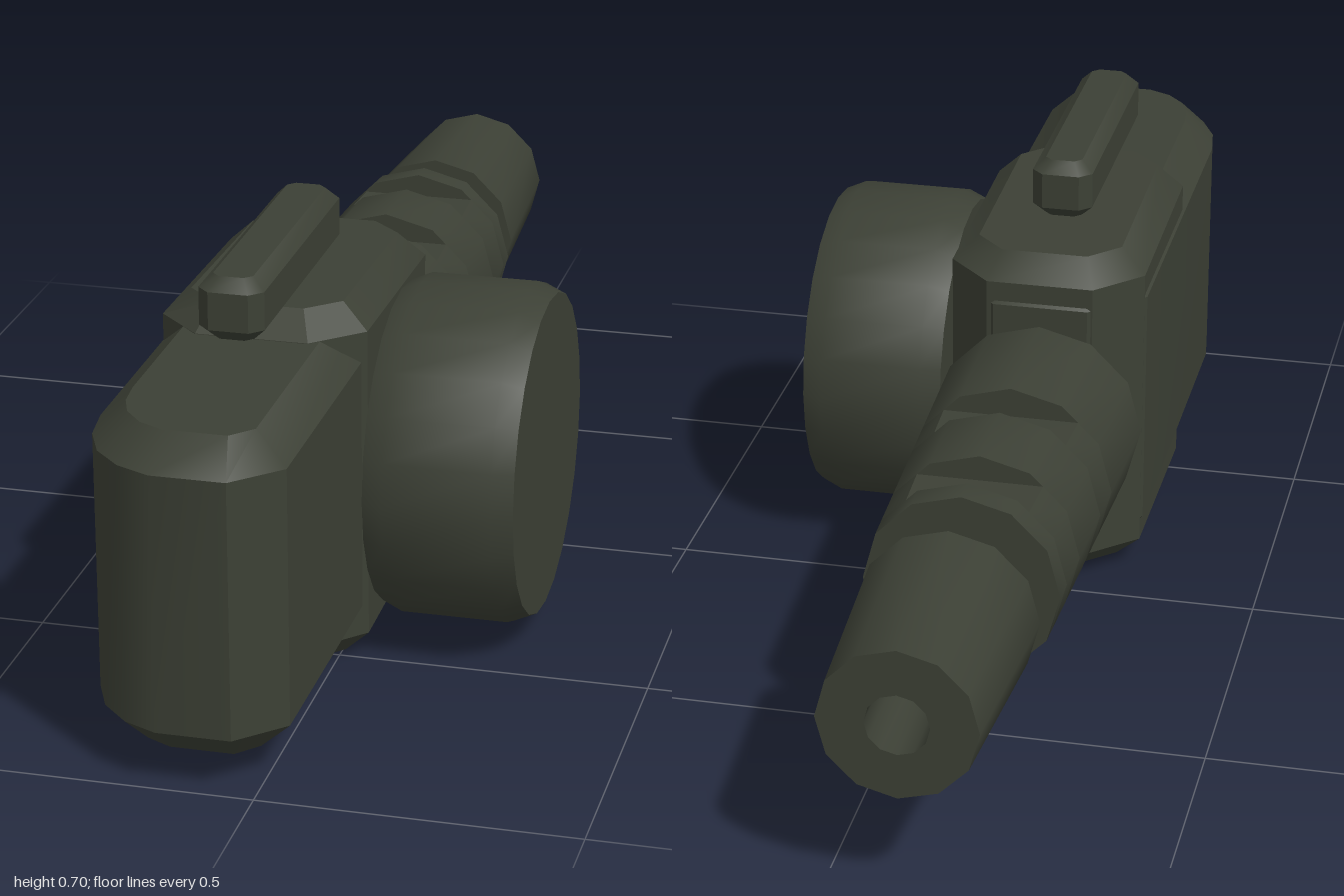
import * as THREE from 'three';
import { toCreasedNormals } from 'three/addons/utils/BufferGeometryUtils.js';

// Skin a closed solid over convex rings of [x, y, z] points
function loft(rings) {
  const pos = [];
  const tri = (a, b, c) => pos.push(...a, ...b, ...c);
  const n = rings[0].length;
  for (let r = 0; r < rings.length - 1; r++) {
    const a = rings[r], b = rings[r + 1];
    for (let k = 0; k < n; k++) {
      const m = (k + 1) % n;
      tri(a[k], a[m], b[m]);
      tri(a[k], b[m], b[k]);
    }
  }
  const first = rings[0], last = rings[rings.length - 1];
  for (let k = 1; k < n - 1; k++) {
    tri(first[0], first[k + 1], first[k]);
    tri(last[0], last[k], last[k + 1]);
  }
  const g = new THREE.BufferGeometry();
  g.setAttribute('position', new THREE.Float32BufferAttribute(pos, 3));
  return toCreasedNormals(g, 0.55);
}

// Rectangle in plan with cut corners
const octagon = (x0, x1, z0, z1, cx, cz = cx) => [
  [x0, z0 + cz], [x0, z1 - cz], [x0 + cx, z1], [x1 - cx, z1],
  [x1, z1 - cz], [x1, z0 + cz], [x1 - cx, z0], [x0 + cx, z0],
];

// Upright block whose plan shrinks to "inner" at top and bottom
function chamferedBlock(outer, inner, y0, y1, chamfer, tilt = (y) => y) {
  const ring = (plan, y) => plan.map(([x, z]) => [x, tilt(y, z), z]);
  return loft([
    ring(inner, y0), ring(outer, y0 + chamfer),
    ring(outer, y1 - chamfer), ring(inner, y1),
  ]);
}

export function createModel() {
  const model = new THREE.Group();
  const olive = new THREE.MeshStandardMaterial({ color: 0x3c4035 });
  olive.name = 'dark olive';

  const add = (name, geometry, parent = model) => {
    const mesh = new THREE.Mesh(geometry, olive);
    mesh.name = name;
    parent.add(mesh);
    return mesh;
  };

  // Long body with a rounded front left corner
  const bodyOuter = [
    [-0.287, 0.12], [-0.287, 0.8], [-0.277, 0.87], [-0.25, 0.93], [-0.205, 0.975],
    [-0.15, 1], [-0.033, 1], [0.038, 0.93], [0.04, 0.12], [-0.04, 0.035], [-0.2, 0.035],
  ];
  const bodyInner = [
    [-0.235, 0.14], [-0.235, 0.8], [-0.23, 0.85], [-0.215, 0.89], [-0.185, 0.925],
    [-0.145, 0.945], [-0.045, 0.945], [-0.013, 0.91], [-0.013, 0.14], [-0.06, 0.09], [-0.18, 0.09],
  ];
  add('body', chamferedBlock(bodyOuter, bodyInner, 0.045, 0.56, 0.05));

  // Taller housing, narrowing slightly in height to the rear
  add('housing', chamferedBlock(
    octagon(-0.283, 0.047, 0.04, 0.57, 0.075),
    octagon(-0.24, 0.005, 0.083, 0.53, 0.05),
    0.002, 0.602, 0.042,
    (y, z) => 0.302 + (y - 0.302) * (1 - 0.09 * (0.53 - z)),
  ));

  // Rail on top
  add('topRail', chamferedBlock(
    octagon(-0.17, -0.067, 0.21, 0.69, 0.02),
    octagon(-0.15, -0.087, 0.23, 0.67, 0.012),
    0.597, 0.698, 0.02,
  ));

  // Side drum, axis along x
  const drumProfile = [[0, 0], [0.26, 0], [0.275, 0.034], [0.275, 0.206], [0.26, 0.24], [0, 0.24]];
  const drum = new THREE.LatheGeometry(drumProfile.map((p) => new THREE.Vector2(...p)), 24);
  drum.rotateZ(-Math.PI / 2);
  add('sideDrum', toCreasedNormals(drum, 0.6)).position.set(0.055, 0.302, 0.307);

  // Tapered barrel in sections; notched sections are cut flat on top
  const barrel = new THREE.Group();
  barrel.name = 'barrel';
  barrel.position.set(-0.12, 0.302, 0);
  model.add(barrel);
  const barrelRing = (z, cut) => {
    const radius = 0.176 - 0.019 * (0.03 - z) / 0.6;
    return Array.from({ length: 12 }, (_, i) => {
      const angle = i * Math.PI / 6;
      const x = Math.cos(angle) * radius, y = Math.sin(angle) * radius;
      if (y <= cut) return [x, y, z];
      return [i === 3 ? 0 : x + Math.sign(x) * (y - cut), cut, z];
    });
  };
  const stops = [0.03, -0.2, -0.285, -0.435, -0.525, -0.57];
  for (let i = 0; i < stops.length - 1; i++) {
    const cut = i % 2 ? 0.119 : 1;
    add(i % 2 ? 'barrelNotch' : 'barrelSection',
      loft([barrelRing(stops[i + 1], cut), barrelRing(stops[i], cut)]), barrel);
  }

  // Neck and hollow muzzle, axis running to the rear
  const muzzleProfile = [
    [0.088, 0.56], [0.088, 0.657], [0.143, 0.657], [0.124, 1], [0.05, 1], [0.05, 0.8], [0, 0.8],
  ];
  const muzzle = new THREE.LatheGeometry(muzzleProfile.map((p) => new THREE.Vector2(...p)), 12);
  muzzle.rotateX(-Math.PI / 2);
  add('muzzle', toCreasedNormals(muzzle, 0.6), barrel);

  return model;
}
